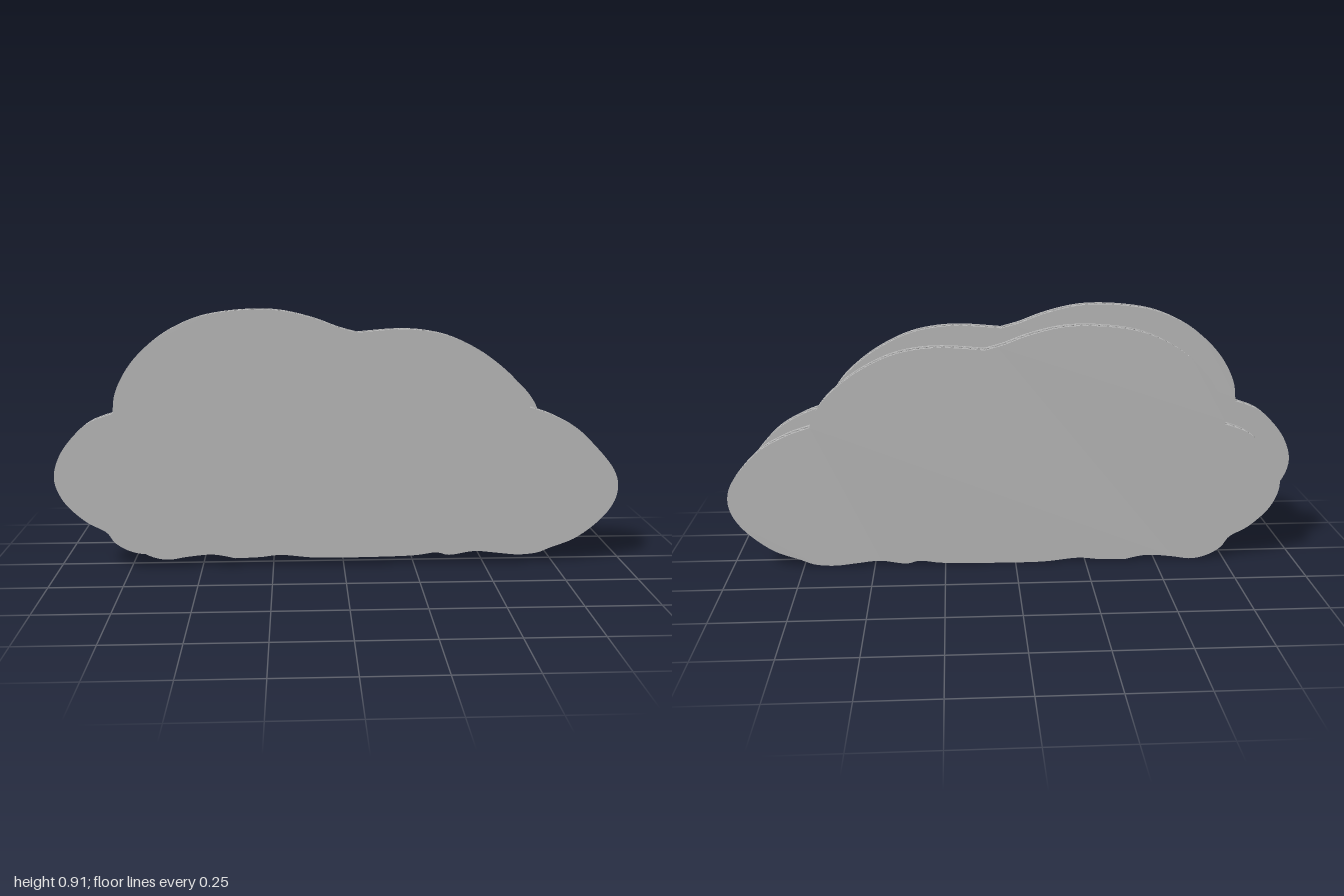
import * as THREE from 'three';

const CARD = new THREE.MeshStandardMaterial({ color: 0xbababa });
CARD.name = 'card grey';

// Each lobe is a smooth curve; lobes meet in sharp notches, running clockwise from the left
const CLOUD = [
  [[-0.79, 0.56], [-0.78, 0.63], [-0.74, 0.71], [-0.68, 0.78], [-0.6, 0.84], [-0.5, 0.885], [-0.4, 0.905],
    [-0.29, 0.912], [-0.2, 0.905], [-0.1, 0.88], [-0.02, 0.85], [0.045, 0.832]],
  [[0.045, 0.832], [0.17, 0.842], [0.27, 0.838], [0.37, 0.815], [0.48, 0.76], [0.57, 0.69], [0.62, 0.63], [0.645, 0.57]],
  [[0.645, 0.57], [0.73, 0.54], [0.82, 0.49], [0.89, 0.42], [0.93, 0.36], [0.94, 0.3], [0.92, 0.24], [0.87, 0.18],
    [0.79, 0.12], [0.7, 0.085], [0.65, 0.066], [0.58, 0.06], [0.5, 0.068], [0.42, 0.075], [0.33, 0.062],
    [0.28, 0.072], [0.2, 0.062], [0.05, 0.058], [-0.15, 0.058], [-0.28, 0.07], [-0.36, 0.063], [-0.45, 0.06]],
  [[-0.45, 0.06], [-0.53, 0.075], [-0.62, 0.068], [-0.69, 0.058], [-0.75, 0.07], [-0.8, 0.1], [-0.83, 0.14],
    [-0.9, 0.18], [-0.97, 0.25], [-1, 0.33], [-0.98, 0.41], [-0.93, 0.48], [-0.87, 0.53], [-0.79, 0.56]],
];
const SPACER = [
  [[-0.51, 0.53], [-0.47, 0.58], [-0.36, 0.63], [-0.2, 0.645], [-0.05, 0.62], [0.04, 0.575]],
  [[0.04, 0.575], [0.15, 0.6], [0.28, 0.59], [0.38, 0.55], [0.43, 0.5]],
  [[0.43, 0.5], [0.54, 0.49], [0.63, 0.44], [0.66, 0.38], [0.63, 0.32], [0.55, 0.285], [0.45, 0.27]],
  [[0.45, 0.27], [-0.5, 0.27]],
  [[-0.5, 0.27], [-0.6, 0.29], [-0.66, 0.33], [-0.68, 0.39], [-0.65, 0.47], [-0.59, 0.51], [-0.51, 0.53]],
];

// Closed outline sampled at an even step, with an even count per lobe
function outline(lobes, step) {
  return lobes.flatMap((lobe) => {
    const curve = new THREE.SplineCurve(lobe.map(([x, y]) => new THREE.Vector2(x, y)));
    const n = 2 * Math.round(curve.getLength() / step / 2);
    return curve.getSpacedPoints(n).slice(0, n);
  });
}

// Outline moved inwards by a fixed distance
function inset(points, d) {
  const n = points.length;
  return points.map((p, i) => {
    const t = points[(i + 1) % n].clone().sub(points[(i + n - 1) % n]).normalize();
    return new THREE.Vector2(p.x + t.y * d, p.y - t.x * d);
  });
}

function sheet(name, points, z0, z1) {
  const geometry = new THREE.ExtrudeGeometry(new THREE.Shape(points), { depth: z1 - z0, bevelEnabled: false });
  geometry.translate(0, 0, z0);
  const mesh = new THREE.Mesh(geometry, CARD);
  mesh.name = name;
  return mesh;
}

// Zigzag ribbon that follows the outline between the two liners
function fluting(points, depth, swing, thick) {
  const inner = inset(points, depth);
  const sections = points.map((p, i) => {
    const z = i % 2 ? swing : -swing;
    const q = inner[i];
    return [[p.x, p.y, z + thick], [p.x, p.y, z - thick], [q.x, q.y, z - thick], [q.x, q.y, z + thick]];
  });
  const pos = [];
  sections.forEach((s, i) => {
    const next = sections[(i + 1) % sections.length];
    for (let k = 0; k < 4; k++) {
      const m = (k + 1) % 4;
      pos.push(...s[k], ...next[k], ...next[m], ...s[k], ...next[m], ...s[m]);
    }
  });
  const geometry = new THREE.BufferGeometry();
  geometry.setAttribute('position', new THREE.Float32BufferAttribute(pos, 3));
  geometry.computeVertexNormals();
  const mesh = new THREE.Mesh(geometry, CARD);
  mesh.name = 'fluting';
  return mesh;
}

// Corrugated board: two liners, a recessed core and the zigzag edge
function panel(name, x, y, z) {
  const edge = outline(CLOUD, 0.015);
  const group = new THREE.Group();
  group.name = name;
  group.add(
    sheet('frontLiner', edge, 0.0125, 0.0225),
    sheet('core', inset(edge, 0.01), -0.0125, 0.0125),
    sheet('backLiner', edge, -0.0225, -0.0125),
    fluting(edge, 0.012, 0.0095, 0.003),
  );
  group.position.set(x, y, z);
  return group;
}

export function createModel() {
  const model = new THREE.Group();
  model.name = 'layeredCloud';
  model.add(
    panel('frontCloud', 0, 0, 0.052),
    panel('backCloud', 0.06, -0.055, -0.051),
    sheet('spacer', outline(SPACER, 0.03), -0.03, 0.03),
  );
  return model;
}
